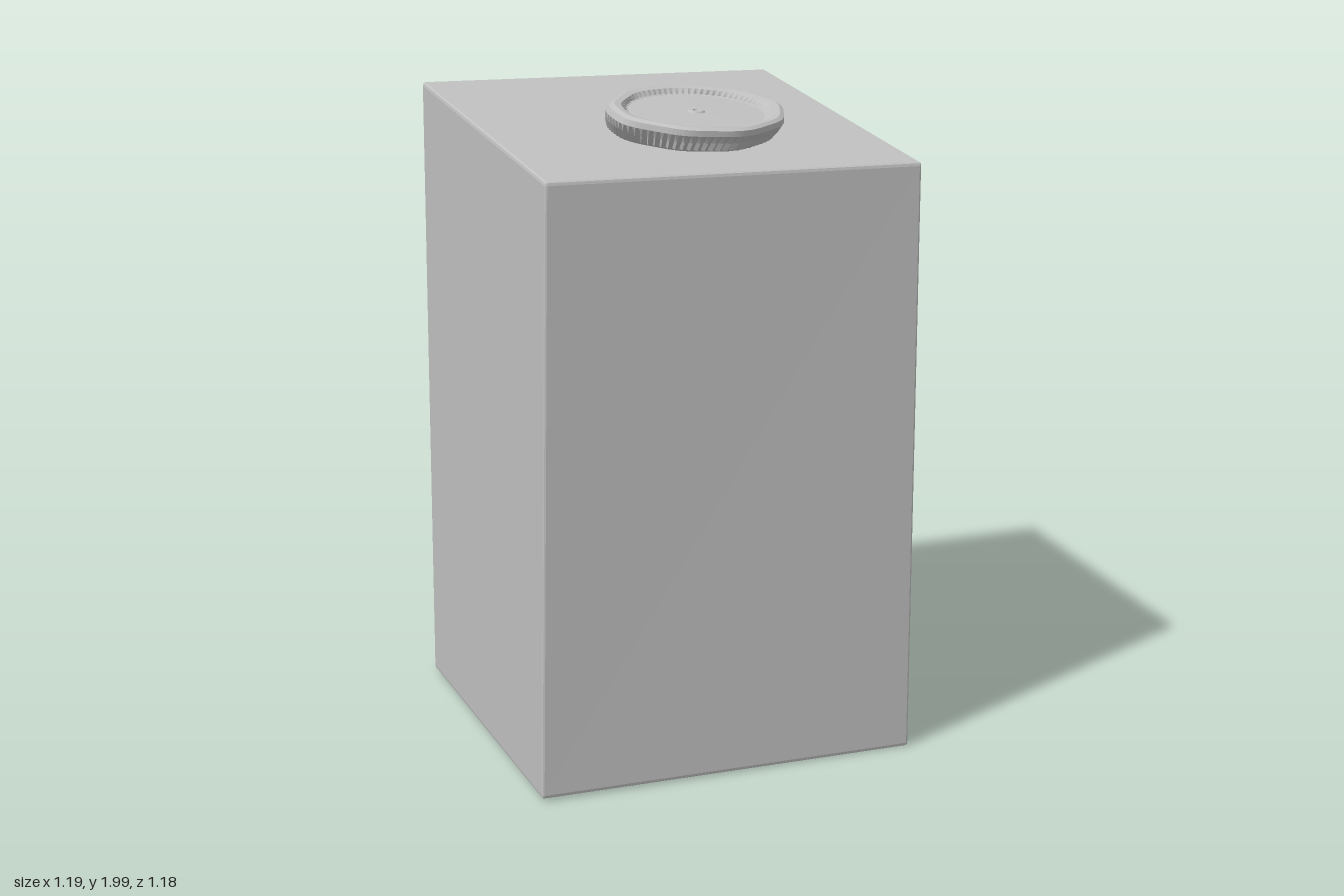
import * as THREE from 'three';
import { RoundedBoxGeometry } from 'three/addons/geometries/RoundedBoxGeometry.js';

const grey = new THREE.MeshStandardMaterial({ color: 0xbfbfbf, flatShading: true });
grey.name = 'grey';

// Slightly irregular block with a sloping top: a unit box warped to eight corners
function bodyGeometry() {
  const corners = [ // index = x + 2 * y + 4 * z
    [-0.59, 0.01, -0.58], [0.585, 0.008, -0.588], [-0.585, 1.973, -0.565], [0.592, 1.97, -0.56],
    [-0.598, 0.012, 0.57], [0.585, 0.003, 0.588], [-0.565, 1.812, 0.568], [0.582, 1.808, 0.575],
  ].map((c) => new THREE.Vector3(...c));
  const geo = new RoundedBoxGeometry(1, 1, 1, 1, 0.006);
  const pos = geo.attributes.position;
  const p = new THREE.Vector3();
  for (let i = 0; i < pos.count; i++) {
    const t = [pos.getX(i) + 0.5, pos.getY(i) + 0.5, pos.getZ(i) + 0.5];
    p.set(0, 0, 0);
    corners.forEach((c, k) => {
      const w = t.reduce((a, v, axis) => a * ((k >> axis) & 1 ? v : 1 - v), 1);
      p.addScaledVector(c, w);
    });
    pos.setXYZ(i, p.x, p.y, p.z);
  }
  geo.computeVertexNormals();
  return geo;
}

// Screw cap: lathe with a ribbed side, uneven rim, dished top and small centre ring
function capGeometry() {
  const profile = [
    [0, 0], [0.222, 0], [0.238, 0.008], [0.25, 0.035], [0.262, 0.06], [0.256, 0.077],
    [0.242, 0.084], [0.222, 0.08], [0.207, 0.066], [0.2, 0.064], [0.026, 0.066],
    [0.02, 0.071], [0.012, 0.071], [0.008, 0.066], [0, 0.066],
  ].map(([r, y]) => new THREE.Vector2(r, y));
  const ribbed = { 2: 0.006, 3: 0.006, 8: 0.004 };
  const segments = 144;
  const geo = new THREE.LatheGeometry(profile, segments);
  const pos = geo.attributes.position;
  for (let i = 0; i < pos.count; i++) {
    const row = i % profile.length;
    const column = Math.floor(i / profile.length) % segments;
    const angle = (column / segments) * Math.PI * 2;
    const r = profile[row].x;
    const y = profile[row].y;
    let scale = 1;
    if (row > 0 && row < 8) scale += 0.012 * Math.sin(9 * angle) + 0.012 * Math.sin(4 * angle + 1);
    if (ribbed[row]) scale += (column % 2 ? 1 : -1) * ribbed[row] / r;
    // the rim leans forward of the base
    pos.setXYZ(i, r * scale * Math.sin(angle) + 0.1 * y, y, r * scale * Math.cos(angle) + 0.4 * y);
  }
  geo.computeVertexNormals();
  return geo;
}

export function createModel() {
  const group = new THREE.Group();
  group.name = 'container';

  const body = new THREE.Mesh(bodyGeometry(), grey);
  body.name = 'body';

  const cap = new THREE.Mesh(capGeometry(), grey);
  cap.name = 'screwCap';
  cap.position.set(0.002, 1.883, 0.218);
  cap.rotation.x = 0.145;

  group.add(body, cap);
  return group;
}
